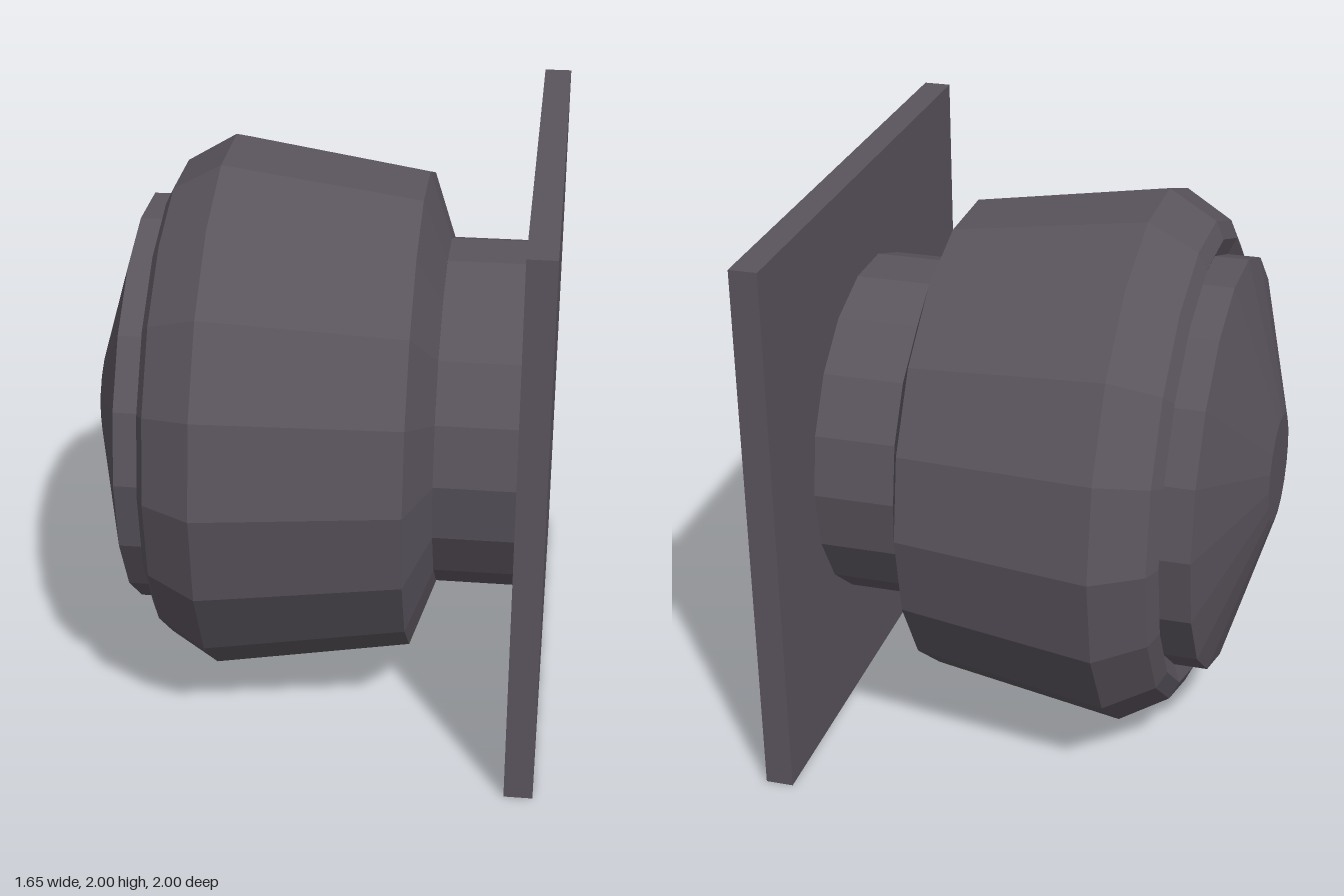
import * as THREE from 'three';

const SIDES = 18;

export function createModel() {
  const model = new THREE.Group();
  model.name = 'doorKnob';

  const darkMetal = new THREE.MeshStandardMaterial({ color: 0x5a545d, flatShading: true });
  darkMetal.name = 'dark metal';

  const add = (name, geometry) => {
    const mesh = new THREE.Mesh(geometry, darkMetal);
    mesh.name = name;
    model.add(mesh);
    return mesh;
  };

  // Turned part lying along x, given as [x, radius] pairs from -x to +x
  const turned = (name, profile) => {
    const points = profile.map(([x, r]) => new THREE.Vector2(r, x));
    const geometry = new THREE.LatheGeometry(points, SIDES);
    geometry.rotateZ(-Math.PI / 2);
    add(name, geometry).position.y = 1;
  };

  // Square plate fixed to the door
  add('mountingPlate', new THREE.BoxGeometry(0.1, 2, 2)).position.set(0.775, 1, 0);

  // Neck between plate and grip
  turned('neck', [[0.4, 0.637], [0.73, 0.637]]);

  // Faceted grip with a shallow recess behind the cap
  turned('grip', [
    [-0.53, 0.74], [-0.565, 0.82], [-0.535, 0.883], [-0.36, 0.985],
    [0.345, 0.876], [0.43, 0.64], [0.43, 0.6],
  ]);

  // Raised conical cap with a small flat tip
  turned('cap', [[-0.825, 0], [-0.825, 0.2], [-0.66, 0.757], [-0.5, 0.757]]);

  return model;
}
